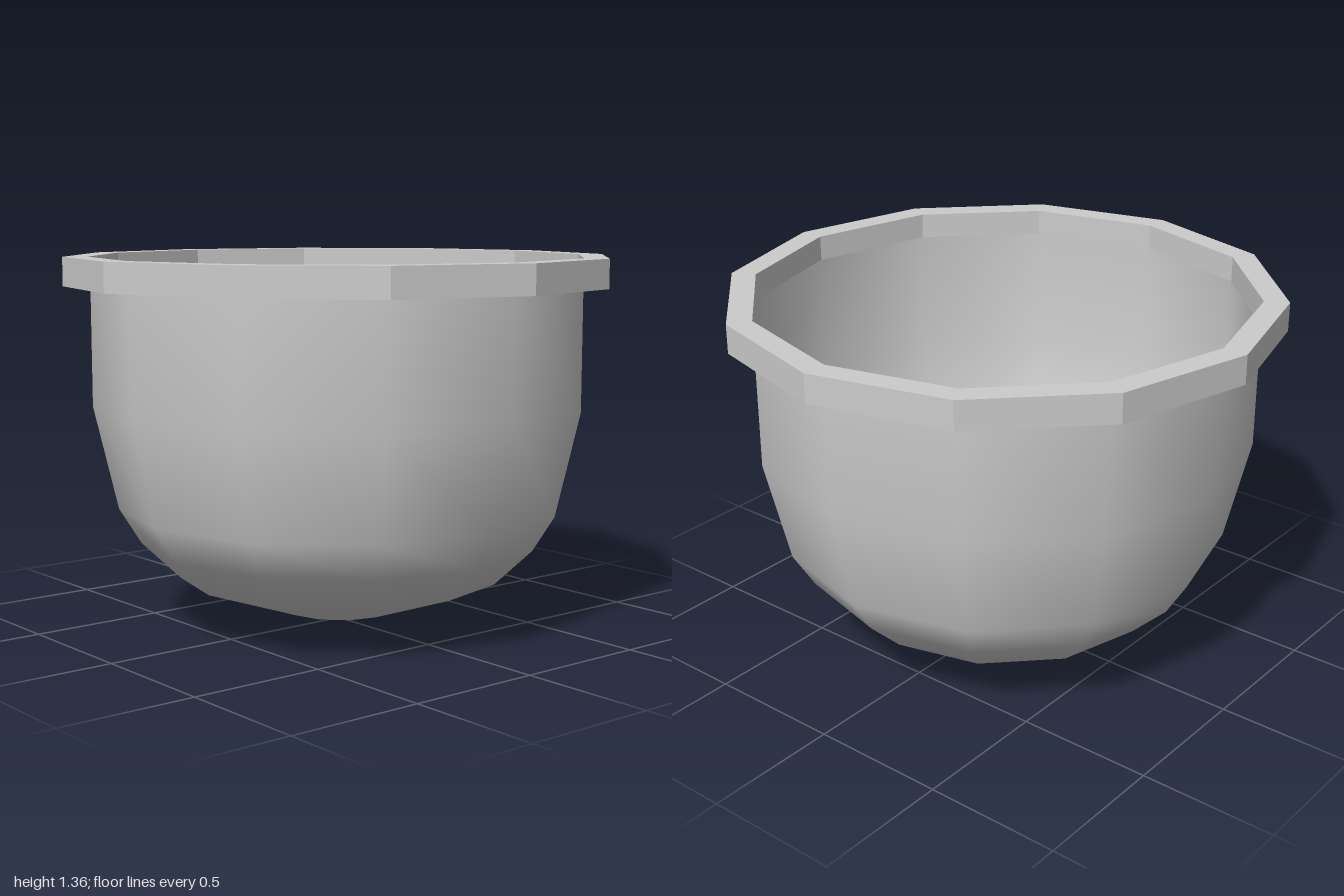
import * as THREE from 'three';

const SIDES = 12;

// Revolves a list of [radius, height] pairs around the y axis
function revolve(name, profile, options) {
  const points = profile.map(([r, y]) => new THREE.Vector2(r, y));
  const material = new THREE.MeshStandardMaterial({ color: 0xcccccc, ...options });
  const mesh = new THREE.Mesh(new THREE.LatheGeometry(points, SIDES), material);
  mesh.name = name;
  return mesh;
}

export function createModel() {
  const group = new THREE.Group();
  group.name = 'bowl';

  // Thin smooth shell, open at the top, with a shallow pointed base
  const shell = revolve('bowlShell', [
    [0, 0], [0.21, 0.04], [0.6, 0.175], [0.74, 0.31],
    [0.82, 0.44], [0.907, 0.82], [0.907, 1.27],
  ], { side: THREE.DoubleSide });
  shell.position.set(0.008, 0, -0.004);
  group.add(shell);

  // Faceted rim ring with a rectangular section
  const rim = revolve('rim', [
    [0.91, 1.255], [1, 1.255], [1, 1.36], [0.91, 1.36], [0.91, 1.255],
  ], { flatShading: true });
  group.add(rim);

  return group;
}
